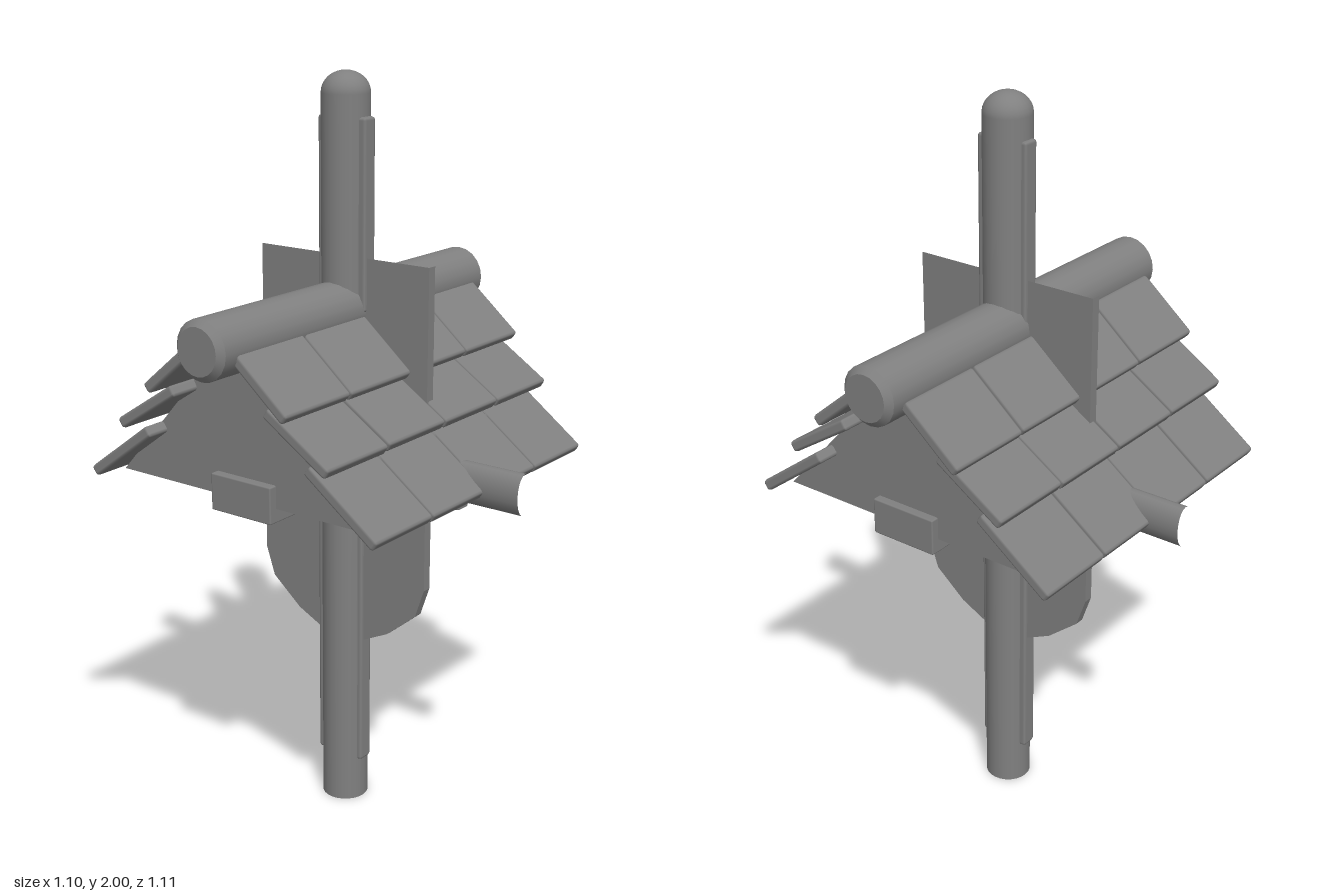
import * as THREE from 'three';
import { RoundedBoxGeometry } from 'three/addons/geometries/RoundedBoxGeometry.js';

const material = new THREE.MeshStandardMaterial({ color: 0x808080 });
const ZC = -0.014; // depth of the post's axis

export function createModel() {
  const model = new THREE.Group();
  model.name = 'roofedPost';

  const add = (name, geometry, x = 0, y = 0, z = 0, parent = model) => {
    const mesh = new THREE.Mesh(geometry, material);
    mesh.name = name;
    mesh.position.set(x, y, z);
    parent.add(mesh);
    return mesh;
  };
  // Bevelled box given by its bounds
  const block = (name, x0, x1, y0, y1, z0, z1, bevel = 0.004) =>
    add(name, new RoundedBoxGeometry(x1 - x0, y1 - y0, z1 - z0, 1, bevel),
      (x0 + x1) / 2, (y0 + y1) / 2, (z0 + z1) / 2);
  // Straight extrusion along z, centred on zc
  const slab = (name, points, depth, zc) => {
    const shape = new THREE.Shape(points.map(([x, y]) => new THREE.Vector2(x, y)));
    return add(name, new THREE.ExtrudeGeometry(shape, { depth, bevelEnabled: false }), 0, 0, zc - depth / 2);
  };

  // Post with a domed top
  const R = 0.063, domeBase = 1.945;
  add('post', new THREE.CylinderGeometry(R, R, domeBase, 24), 0, domeBase / 2, ZC);
  const dome = add('postDome', new THREE.SphereGeometry(R, 24, 8, 0, Math.PI * 2, 0, Math.PI / 2), 0, domeBase, ZC);
  dome.scale.y = (2 - domeBase) / R;

  // Raised strips along both sides of the post
  block('upperPostStrips', -0.072, 0.077, 1.4, 1.89, ZC - 0.023, ZC + 0.023, 0.008);
  block('lowerPostStrips', -0.076, 0.071, 0.12, 0.96, ZC - 0.023, ZC + 0.023, 0.008);

  // Shield-shaped board with a rounded foot, open along its top edge
  const top = 1.54;
  const half = [[0.267, top], [0.267, 0.68], [0.24, 0.6], [0.15, 0.525], [0.075, 0.488]];
  const mirrored = half.map(([x, y]) => [-x, y]).reverse();
  const board = slab('shieldBoard', [...half, [0, 0.48], ...mirrored].reverse(), 0.026, ZC).geometry;
  const pos = board.getAttribute('position');
  const kept = [];
  for (let i = 0; i < pos.count; i += 3)
    if ([0, 1, 2].some((k) => pos.getY(i + k) < top - 0.001)) kept.push(i, i + 1, i + 2);
  board.clearGroups();
  board.setIndex(kept);

  // Oval crossbeam, hollow at its ends
  const beam = add('crossbeam', new THREE.CylinderGeometry(1, 1, 1.1, 20, 1, true), 0, 1.005, -0.018);
  beam.rotation.z = Math.PI / 2;
  beam.scale.set(0.055, 1, 0.033);
  block('crossbeamRail', -0.38, 0.375, 0.932, 0.956, ZC - 0.023, ZC + 0.023);

  // Gable body and the planks hanging beneath it
  slab('gableBody', [[-0.41, 0.99], [0.4, 0.99], [0.125, 1.295], [0, 1.4], [-0.135, 1.295]], 0.81, -0.008);
  block('centrePlank', -0.09, 0.1, 0.953, 1.05, -0.435, 0.42);
  for (const s of [-1, 1])
    block('sidePlank', s < 0 ? -0.33 : 0.1, s < 0 ? -0.09 : 0.33, 0.962, 1.0, -0.31, 0.295);

  // Ridge log with chamfered ends
  const ridge = new THREE.Group();
  ridge.name = 'ridgeLog';
  ridge.position.set(-0.002, 1.4, -0.002);
  ridge.rotation.x = Math.PI / 2;
  model.add(ridge);
  const r = 0.0765, inner = 0.06, chamfer = 0.016, len = 1.114;
  add('ridgeBarrel', new THREE.CylinderGeometry(r, r, len - 2 * chamfer, 20), 0, 0, 0, ridge);
  const endY = len / 2 - chamfer / 2;
  add('ridgeEnd', new THREE.CylinderGeometry(inner, r, chamfer, 20), 0, endY, 0, ridge);
  add('ridgeEnd', new THREE.CylinderGeometry(r, inner, chamfer, 20), 0, -endY, 0, ridge);

  // Three overlapping rows of four shingles on each slope: upper end, lower end, z range
  const rows = [
    { a: [0.064, 1.387], b: [0.219, 1.257], z: [-0.512, 0.5] },
    { a: [0.145, 1.263], b: [0.329, 1.145], z: [-0.49, 0.484] },
    { a: [0.252, 1.135], b: [0.452, 0.988], z: [-0.475, 0.464] },
  ];
  for (const s of [-1, 1]) {
    rows.forEach(({ a, b, z }, row) => {
      const dx = b[0] - a[0], dy = b[1] - a[1];
      const width = (z[1] - z[0]) / 4;
      for (let i = 0; i < 4; i++) {
        const wobble = (((i * 5 + row * 3 + (s > 0 ? 2 : 0)) % 4) - 1.5) * 0.001;
        const tile = add('shingle',
          new RoundedBoxGeometry(Math.hypot(dx, dy), 0.03, width - 0.004, 1, 0.008),
          s * (a[0] + b[0]) / 2 - 0.009, (a[1] + b[1]) / 2 + wobble, z[0] + width * (i + 0.5));
        tile.rotation.z = s * Math.atan2(dy, dx);
      }
    });
  }
  return model;
}
